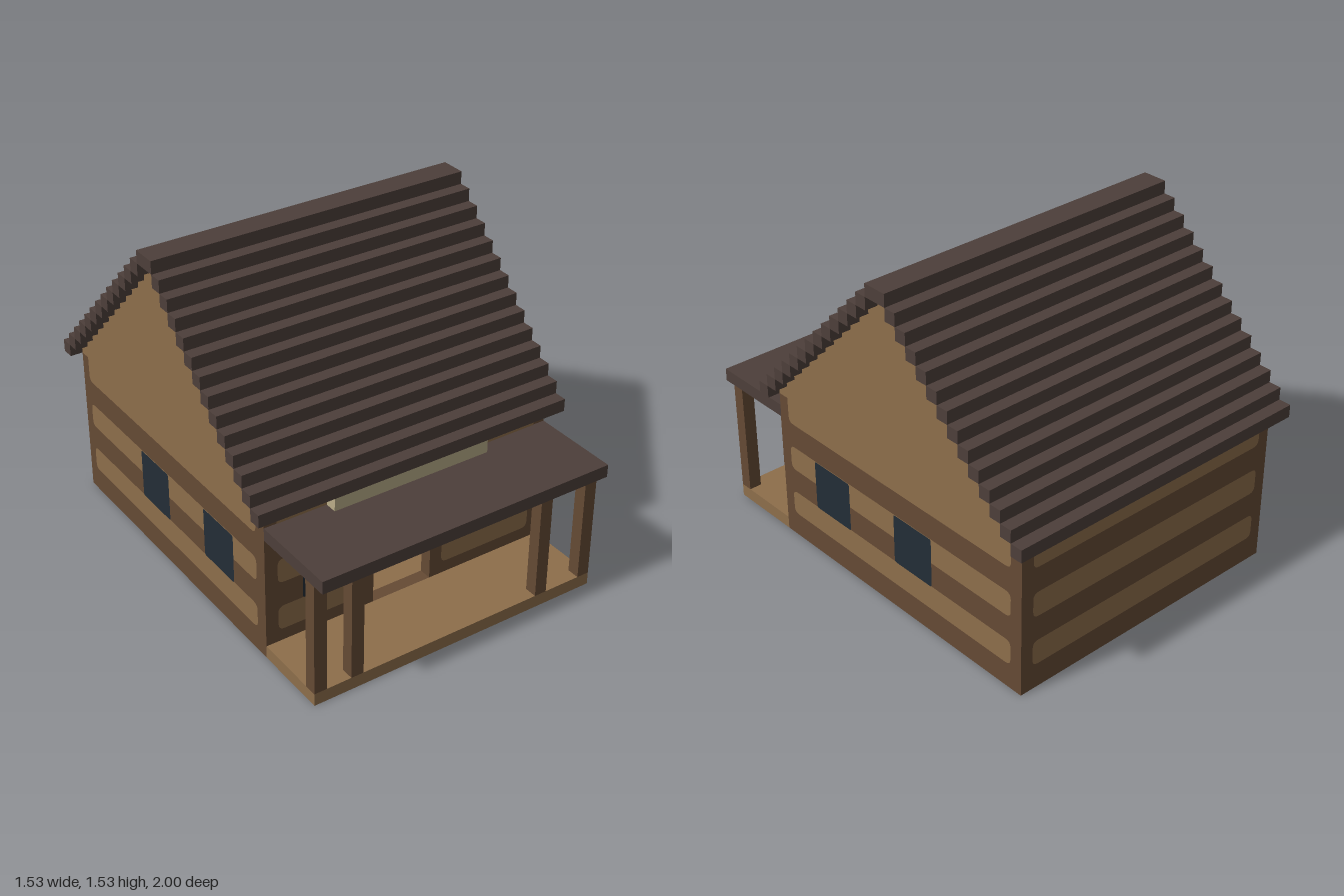
import * as THREE from 'three';

const material = (name, color) => {
  const m = new THREE.MeshStandardMaterial({ color });
  m.name = name;
  return m;
};

export function createModel() {
  const lightLog = material('light log', 0x8d6e4b);
  const darkLog = material('dark log', 0x654a34);
  const shingle = material('shingle', 0x4d3f3a);
  const glass = material('window glass', 0x232d36);
  const pale = material('pale board', 0xb9ad88);

  const model = new THREE.Group();
  model.name = 'cabin';
  // Everything is laid out in blocks, 17 blocks to a unit
  const cabin = new THREE.Group();
  cabin.name = 'blocks';
  cabin.scale.setScalar(1 / 17);
  model.add(cabin);

  const add = (name, geometry, mat, parent = cabin) => {
    const mesh = new THREE.Mesh(geometry, mat);
    mesh.name = name;
    parent.add(mesh);
    return mesh;
  };
  const box = (name, mat, x0, x1, y0, y1, z0, z1) =>
    add(name, new THREE.BoxGeometry(x1 - x0, y1 - y0, z1 - z0), mat)
      .position.set((x0 + x1) / 2, (y0 + y1) / 2, (z0 + z1) / 2);

  // Flat painted panel with rounded corners, lying just above a wall face
  const panel = (name, mat, face, u0, u1, y0, y1, r = 0.5, lift = 0.04) => {
    const s = new THREE.Shape();
    s.moveTo(u0 + r, y0);
    s.lineTo(u1 - r, y0);
    s.quadraticCurveTo(u1, y0, u1, y0 + r);
    s.lineTo(u1, y1 - r);
    s.quadraticCurveTo(u1, y1, u1 - r, y1);
    s.lineTo(u0 + r, y1);
    s.quadraticCurveTo(u0, y1, u0, y1 - r);
    s.lineTo(u0, y0 + r);
    s.quadraticCurveTo(u0, y0, u0 + r, y0);
    add(name, new THREE.ShapeGeometry(s, 4), mat, face).position.z = lift;
  };
  const wallFace = (name, x, z, turn) => {
    const g = new THREE.Group();
    g.name = name;
    g.position.set(x, 0, z);
    g.rotation.y = turn;
    cabin.add(g);
    return g;
  };

  // Floors
  box('roomFloor', lightLog, -11, 11, 0, 1, -15, 9);
  box('porchFloor', lightLog, -12, 12, 0, 1, 10, 16);

  // Walls, with an open doorway in the front
  box('leftWall', darkLog, 11, 12, 0, 12, -16, 10);
  box('rightWall', darkLog, -12, -11, 0, 12, -16, 10);
  box('backWall', darkLog, -11, 11, 0, 12, -16, -15);
  box('frontWallRight', darkLog, -11, -3, 0, 12, 9, 10);
  box('frontWallLeft', darkLog, 2, 11, 0, 12, 9, 10);
  box('doorLintel', darkLog, -3, 2, 9, 12, 9, 10);
  box('doorSill', darkLog, -3, 2, 0, 1, 9, 10);

  // Light log bands and windows on the side walls, inside and out
  for (const side of [1, -1]) {
    for (const out of [1, -1]) {
      const face = wallFace(out > 0 ? 'sideWallFace' : 'sideWallInside',
        side * (out > 0 ? 12 : 11), -3, side * out * Math.PI / 2);
      const half = out > 0 ? 12 : 11.9;
      for (const [y0, y1] of [[2, 4], [6, 8], [10, 12.6]])
        panel('logBand', lightLog, face, -half, half, y0, y1);
      for (const [a, b] of [[5, 9], [-4, 0]]) {
        const [u0, u1] = side * out > 0 ? [-b, -a] : [a, b];
        panel('sideWindow', glass, face, u0, u1, 4, 8, 0.2, 0.08);
      }
    }
  }

  // Bands on the back wall, inside and out
  const back = wallFace('backWallFace', 0, -16, Math.PI);
  const backInside = wallFace('backWallInside', 0, -15, 0);
  for (const [y0, y1] of [[2, 4], [6, 8], [10, 12]])
    for (const face of [back, backInside]) panel('logBand', lightLog, face, -11, 11, y0, y1);

  // Bands and window on the front wall
  const front = wallFace('frontWallFace', 0, 10, 0);
  for (const y of [2, 6]) {
    panel('logBand', lightLog, front, -11, -4, y, y + 2);
    panel('logBand', lightLog, front, 3, 11, y, y + 2);
  }
  panel('logBand', lightLog, front, -11, 11, 10, 12.5);
  panel('frontWindow', glass, front, -9, -5, 4, 8, 0.2, 0.08);

  // Shelves on the inside of the back wall
  for (const y of [1, 4, 7]) box('shelf', darkLog, -8, -2, y, y + 1, -15, -13);

  // Stepped gables
  const gable = new THREE.Shape();
  gable.moveTo(-13, 12);
  for (let i = 0; i < 13; i++) {
    gable.lineTo(-13 + i, 13 + i);
    gable.lineTo(-12 + i, 13 + i);
  }
  for (let i = 12; i >= 0; i--) {
    if (i < 12) gable.lineTo(12 - i, 13 + i);
    gable.lineTo(13 - i, 13 + i);
    gable.lineTo(13 - i, 12 + i);
  }
  const gableGeometry = new THREE.ExtrudeGeometry(gable, { depth: 1, bevelEnabled: false });
  for (const x of [-12, 11]) {
    const mesh = add('gable', gableGeometry, lightLog);
    mesh.rotation.y = Math.PI / 2;
    mesh.position.set(x, 0, -3);
  }

  // Stepped roof: a front and a back course on each level, meeting at the ridge
  for (let i = 0; i < 14; i++) {
    box('frontRoofCourse', shingle, -13, 13, 12 + i, 13 + i, 10 - i, 11 - i);
    box('backRoofCourse', shingle, -13, 13, 12 + i, 13 + i, -17 + i, -16 + i);
  }

  // Porch roof, posts and the board above the door
  box('porchRoof', shingle, -12, 12, 10, 11, 10, 17);
  for (const x of [-12, -9, 7, 11]) box('porchPost', darkLog, x, x + 1, 1, 10, 15, 16);
  box('boardAbovePorch', pale, -7, 6, 11, 12, 10, 11);
  box('boardBelowPorch', pale, -7, 6, 9, 10, 10, 11);

  return model;
}
